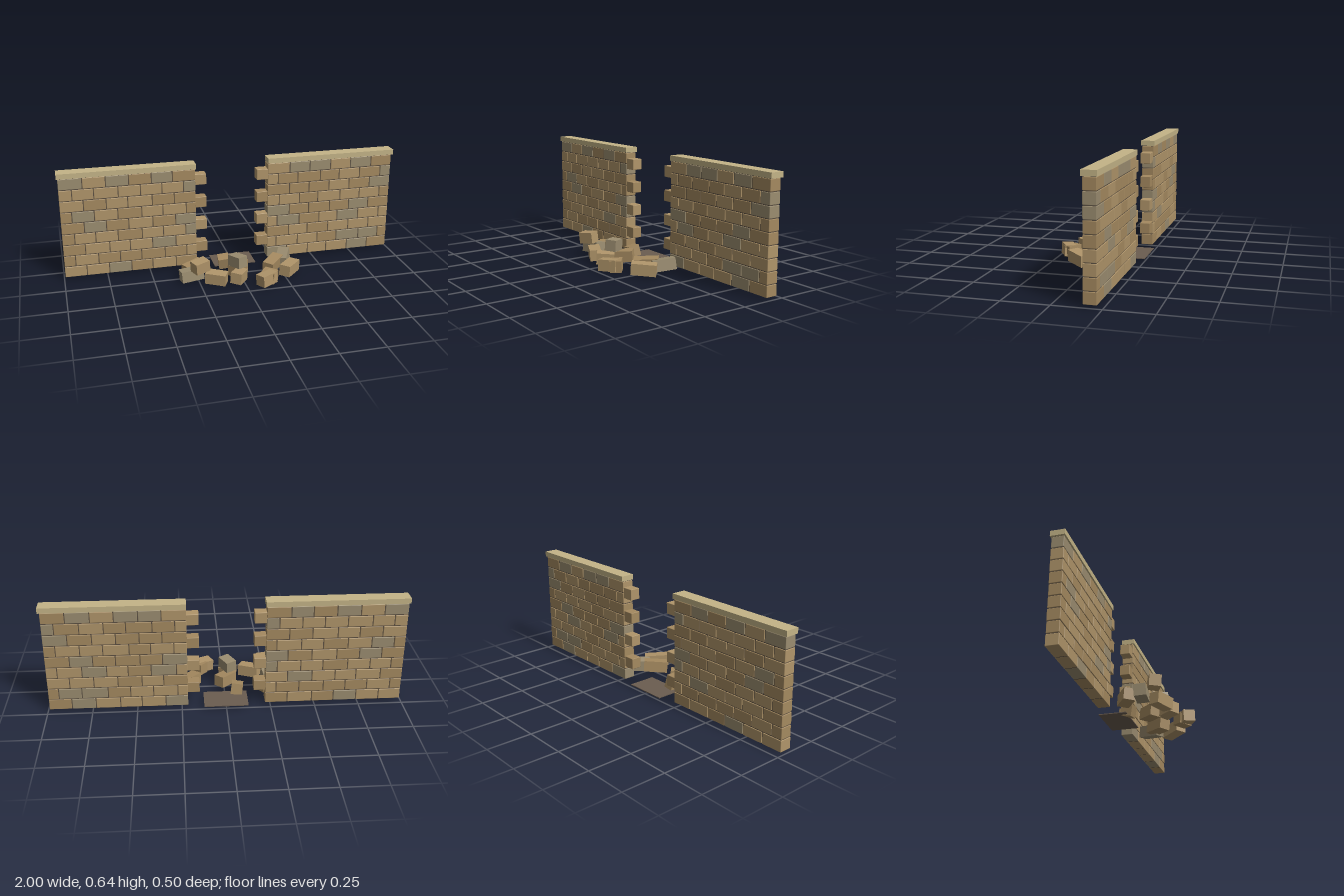
import * as THREE from 'three';
import { RoundedBoxGeometry } from 'three/addons/geometries/RoundedBoxGeometry.js';

const mat = (color) => new THREE.MeshStandardMaterial({ color });
const tan = mat(0xb0956a), ochre = mat(0xa58a60), grey = mat(0x9b8d70);
const capMat = mat(0xc4b487), mortar = mat(0x5c5043), slabMat = mat(0x6b5d50);
const stones = [tan, ochre, tan, grey, ochre];

// Small seeded generator for joints and colours
function seeded(seed) {
  return () => {
    seed = (seed * 1664525 + 1013904223) % 4294967296;
    return seed / 4294967296;
  };
}

function box(parent, name, size, pos, material) {
  const mesh = new THREE.Mesh(new THREE.BoxGeometry(...size), material);
  mesh.name = name;
  mesh.position.set(...pos);
  parent.add(mesh);
  return mesh;
}

function brick(parent, name, size, pos, material) {
  const mesh = new THREE.Mesh(new RoundedBoxGeometry(...size, 1, 0.003), material);
  mesh.name = name;
  mesh.position.set(...pos);
  parent.add(mesh);
  return mesh;
}

const WALL_Z = -0.1875, PITCH = 0.0663, BASE = 0.016, GAP = 0.004;

function wall(name, x0, x1, gapSide, seed) {
  const group = new THREE.Group();
  group.name = name;
  const rnd = seeded(seed);
  const width = x1 - x0, mid = (x0 + x1) / 2;

  // Recessed mortar behind the joints
  box(group, 'mortarCore', [width - 0.008, 0.594, 0.061], [mid, 0.314, WALL_Z], mortar);

  // Nine courses in running bond with slightly uneven joints
  const unit = width / 6;
  for (let row = 0; row < 9; row++) {
    const joints = [x0];
    const shift = row % 2 ? 0.5 : 1;
    for (let i = 0; i < 6 && x0 + (i + shift) * unit < x1 - 0.03; i++)
      joints.push(x0 + (i + shift) * unit + (rnd() - 0.5) * 0.016);
    joints.push(x1);
    for (let i = 0; i < joints.length - 1; i++) {
      const a = joints[i] + (i ? GAP / 2 : 0);
      const b = joints[i + 1] - (i < joints.length - 2 ? GAP / 2 : 0);
      brick(group, 'brick', [b - a, PITCH - GAP, 0.067 + rnd() * 0.003],
        [(a + b) / 2, BASE + (row + 0.5) * PITCH - GAP / 2, WALL_Z],
        stones[Math.floor(rnd() * stones.length)]);
    }
  }

  // Toothing bricks left standing at the breach
  const edge = gapSide > 0 ? x1 : x0;
  for (let i = 0; i < 4; i++)
    brick(group, 'toothBrick', [0.08, 0.064, 0.06],
      [edge + gapSide * 0.026, 0.128 + i * 0.139, WALL_Z], i % 2 ? tan : ochre);

  // Coping
  box(group, 'coping', [0.785, 0.03, 0.079],
    [gapSide > 0 ? -0.6075 : 0.6075, 0.627, WALL_Z], capMat);
  return group;
}

// Fallen bricks: x, y, z, length, turn, roll, pitch
const fallen = [
  [-0.26, 0.043, -0.05, 0.13, 0.57, 0.05, 0.06],
  [-0.29, 0.046, 0.04, 0.13, 0.12, 0.07, -0.08],
  [-0.25, 0.12, 0.10, 0.09, 0.4, 0.1, 0.06],
  [-0.16, 0.045, 0.115, 0.12, -0.47, -0.05, 0.06],
  [-0.07, 0.045, -0.095, 0.065, -0.1, 0.12, 0.2],
  [-0.01, 0.046, 0.015, 0.12, 0.8, 0.08, 0.05],
  [-0.025, 0.115, 0.07, 0.09, -1.05, 0.06, -0.04],
  [-0.03, 0.044, 0.125, 0.1, 0.95, -0.06, 0.06],
  [0.115, 0.045, 0.195, 0.105, 0.5, 0.04, -0.05],
  [0.14, 0.044, 0.165, 0.08, -0.7, -0.05, 0.05],
  [0.205, 0.045, 0.005, 0.14, 0.85, 0.07, 0.08],
  [0.285, 0.047, -0.055, 0.13, 1.13, 0.12, -0.1],
  [0.285, 0.043, 0.08, 0.14, 0.85, -0.06, 0.04],
];

export function createModel() {
  const model = new THREE.Group();
  model.name = 'breachedWall';
  model.add(wall('rightWall', -0.993, -0.22, 1, 11));
  model.add(wall('leftWall', 0.215, 0.99, -1, 47));

  // Bare ground slab in the breach
  box(model, 'groundSlab', [0.25, 0.005, 0.158], [0, 0.018, -0.171], slabMat);

  const rubble = new THREE.Group();
  rubble.name = 'rubble';
  fallen.forEach(([x, y, z, length, turn, roll, pitch], i) => {
    const mesh = box(rubble, 'fallenBrick', [length, 0.065, 0.066], [x, y, z], stones[(i * 2 + 1) % 5]);
    mesh.rotation.set(pitch, turn, roll, 'YXZ');
  });
  model.add(rubble);
  return model;
}
